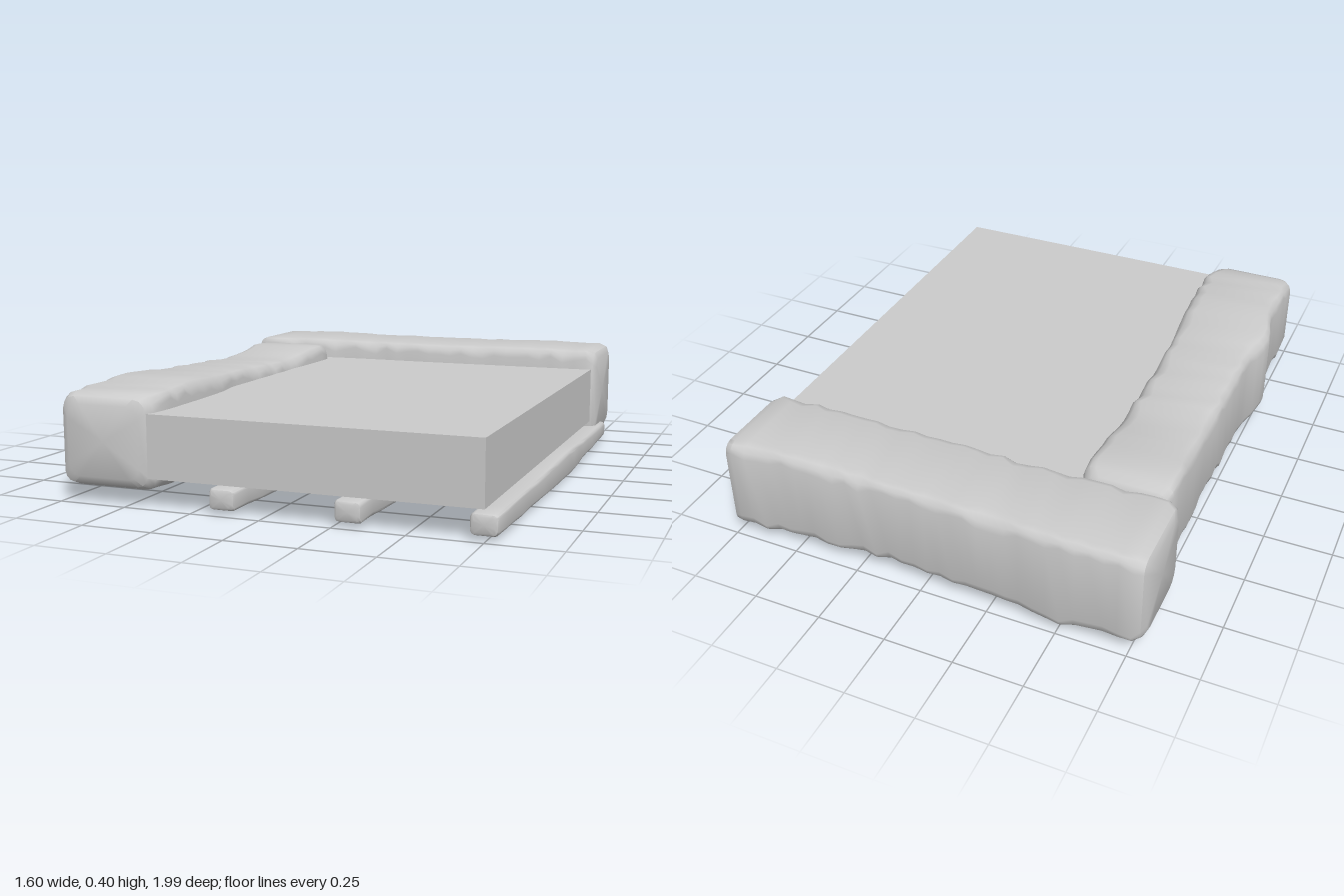
import * as THREE from 'three';
import { toCreasedNormals } from 'three/addons/utils/BufferGeometryUtils.js';

const material = new THREE.MeshStandardMaterial({ color: 0xcccccc, side: THREE.DoubleSide });

function seeded(seed) {
  return () => {
    seed = (seed * 16807) % 2147483647;
    return seed / 2147483647 - 0.5;
  };
}

// Eased station [z, xMin, xMax, yMin, yMax] at position z
function stationAt(stations, z) {
  let i = 0;
  while (i < stations.length - 2 && z > stations[i + 1][0]) i++;
  const a = stations[i], b = stations[i + 1];
  const t = THREE.MathUtils.smoothstep(z, a[0], b[0]);
  return a.map((v, k) => v + (b[k] - v) * t);
}

// Rough hewn bar along z: rounded rectangular sections, chipped at the corners
function hewnBar(name, stations, radius, rough, rows, seed) {
  const rand = seeded(seed);
  const z0 = stations[0][0], z1 = stations[stations.length - 1][0];
  const rings = [[z0, radius * 0.8], [z0 + radius * 0.3, radius * 0.25]];
  for (let i = 0; i <= rows; i++) {
    rings.push([z0 + radius + (z1 - z0 - 2 * radius) * i / rows, 0]);
  }
  rings.push([z1 - radius * 0.3, radius * 0.25], [z1, radius * 0.8]);

  const steps = 3, perRing = 4 * (steps + 1);
  const pos = [], index = [];
  for (const [z, inset] of rings) {
    const [, xa, xb, ya, yb] = stationAt(stations, z);
    const cx = (xa + xb) / 2, cy = (ya + yb) / 2;
    const w = (xb - xa) / 2 - inset, h = (yb - ya) / 2 - inset;
    for (let c = 0; c < 4; c++) {
      const sx = c === 0 || c === 3 ? 1 : -1, sy = c < 2 ? 1 : -1;
      const r = radius * (1 + rand() * rough);
      for (let s = 0; s <= steps; s++) {
        const a = (c + s / steps) * Math.PI / 2;
        pos.push(
          cx + sx * (w - r) + r * Math.cos(a),
          cy + sy * (h - r) + r * Math.sin(a),
          z);
      }
    }
  }
  for (let i = 0; i < rings.length - 1; i++) {
    for (let j = 0; j < perRing; j++) {
      const a = i * perRing + j, b = i * perRing + (j + 1) % perRing;
      index.push(a, b, b + perRing, a, b + perRing, a + perRing);
    }
  }
  // End caps
  for (const end of [0, rings.length - 1]) {
    const [z] = rings[end], s = stationAt(stations, z), centre = pos.length / 3;
    pos.push((s[1] + s[2]) / 2, (s[3] + s[4]) / 2, z);
    for (let j = 0; j < perRing; j++) {
      const a = end * perRing + j, b = end * perRing + (j + 1) % perRing;
      if (end) index.push(centre, a, b);
      else index.push(centre, b, a);
    }
  }
  const geometry = new THREE.BufferGeometry();
  geometry.setAttribute('position', new THREE.Float32BufferAttribute(pos, 3));
  geometry.setIndex(index);
  const mesh = new THREE.Mesh(toCreasedNormals(geometry, 0.7), material);
  mesh.name = name;
  return mesh;
}

export function createModel() {
  const group = new THREE.Group();
  group.name = 'stonePlatform';

  // Flat slab
  const slab = new THREE.Mesh(new THREE.BoxGeometry(1.34, 0.22, 1.67), material);
  slab.name = 'slab';
  slab.position.set(0.075, 0.213, 0.14);
  group.add(slab);

  // Stone block along the right-hand edge
  group.add(hewnBar('sideBlock', [
    [-0.625, -0.75, -0.425, 0.06, 0.385],
    [-0.5, -0.75, -0.425, 0.05, 0.39],
    [-0.2, -0.745, -0.43, 0.035, 0.367],
    [0.3, -0.75, -0.433, 0.035, 0.38],
    [0.48, -0.785, -0.41, 0.04, 0.39],
    [0.65, -0.75, -0.403, 0.045, 0.4],
    [0.85, -0.75, -0.4, 0.05, 0.388],
    [0.99, -0.755, -0.41, 0.06, 0.38]
  ], 0.045, 0.7, 30, 11));

  // Stone block across the back, modelled along z and turned onto x
  const back = hewnBar('backBlock', [
    [-0.8, 0.645, 0.99, 0.05, 0.4],
    [-0.5, 0.645, 0.998, 0.03, 0.405],
    [-0.3, 0.65, 0.99, 0.045, 0.402],
    [0.1, 0.64, 0.978, 0.06, 0.4],
    [0.5, 0.64, 0.982, 0.045, 0.405],
    [0.765, 0.642, 0.997, 0.035, 0.4]
  ], 0.042, 0.7, 30, 29);
  back.rotation.y = Math.PI / 2;
  group.add(back);

  // Three rough runners under the slab
  [-0.145, 0.3, 0.745].forEach((x, i) => {
    group.add(hewnBar('runner' + (i + 1), [
      [-0.8, x - 0.045, x + 0.04, 0.02, 0.08],
      [-0.4, x - 0.048, x + 0.045, 0.012, 0.087],
      [0, x - 0.045, x + 0.052, 0.004, 0.1],
      [0.5, x - 0.05, x + 0.047, 0.01, 0.09],
      [0.98, x - 0.048, x + 0.045, 0.018, 0.09]
    ], 0.014, 0.5, 18, 41 + i * 7));
  });
  return group;
}
